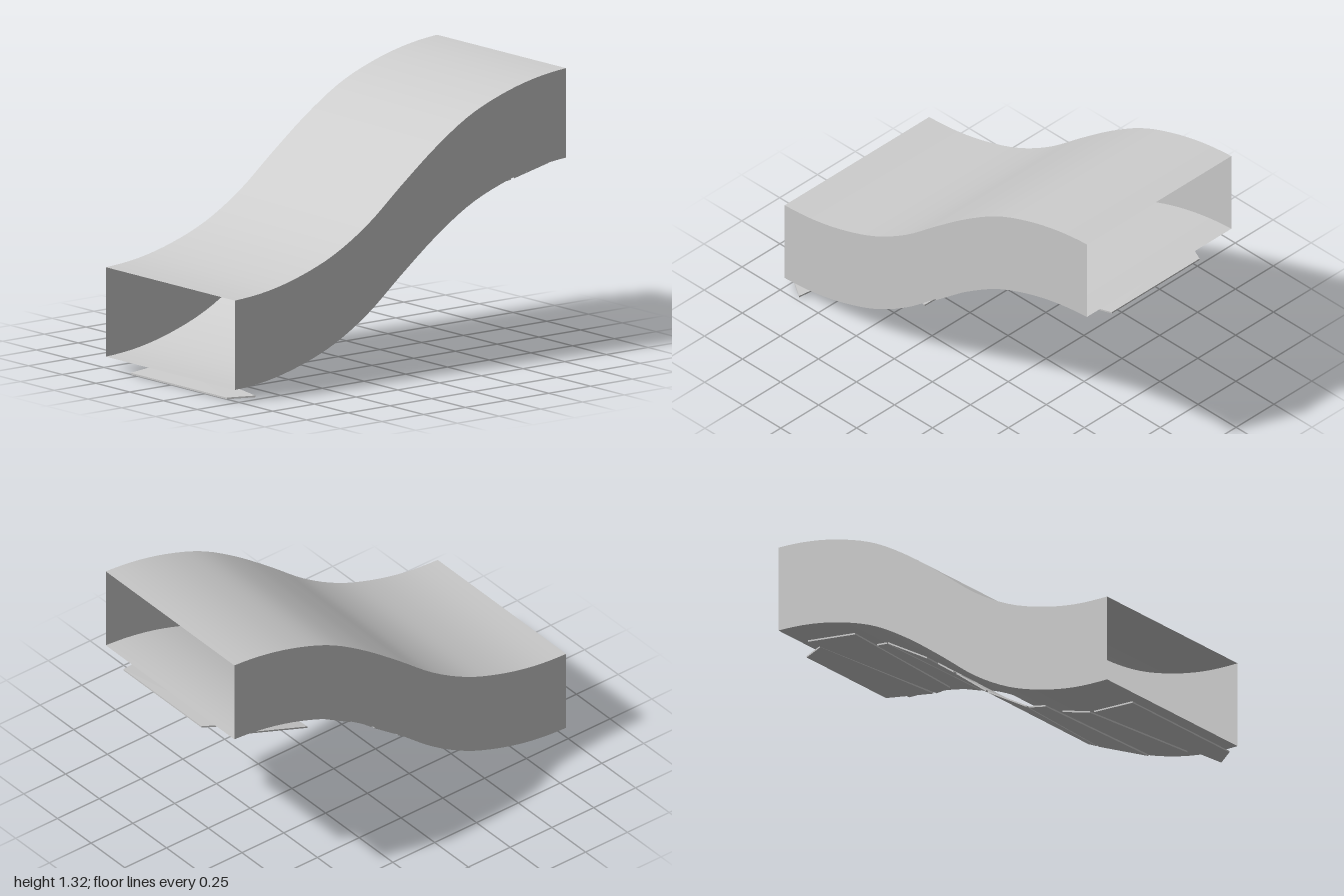
import * as THREE from 'three';
import { ConvexGeometry } from 'three/addons/geometries/ConvexGeometry.js';

const RIGHT = -0.485, LEFT = 0.47, HEIGHT = 0.426, BACK = -0.985;

// height of the duct floor, sampled every 0.2 from z = 1 to z = -1
const floorCurve = new THREE.SplineCurve(
  [0.054, 0.073, 0.12, 0.195, 0.312, 0.47, 0.62, 0.743, 0.822, 0.872, 0.895]
    .map((y, i) => new THREE.Vector2(1 - i * 0.2, y)));
const floorAt = z => floorCurve.getPoint(THREE.MathUtils.clamp((1 - z) / 2, 0, 1)).y;

// smooth sheet swept along the duct between two rails (x, height above floor)
function sheet([xa, ha], [xb, hb], material) {
  const steps = 40, pos = [], index = [];
  for (let i = 0; i <= steps; i++) {
    const z = 1 + (BACK - 1) * i / steps, y = floorAt(z);
    pos.push(xa, y + ha, z, xb, y + hb, z);
    if (i < steps) {
      const k = i * 2;
      index.push(k, k + 1, k + 3, k, k + 3, k + 2);
    }
  }
  const g = new THREE.BufferGeometry();
  g.setAttribute('position', new THREE.Float32BufferAttribute(pos, 3));
  g.setIndex(index);
  g.computeVertexNormals();
  return new THREE.Mesh(g, material);
}

// corner [x, z] of each irregular slat, front to back
const SLATS = [
  [[0.41, 1], [-0.3, 1], [-0.29, 0.76], [0.485, 0.89]],
  [[0.31, 0.83], [-0.29, 0.735], [-0.315, 0.59], [0.31, 0.61]],
  [[0.315, 0.59], [-0.39, 0.55], [-0.34, 0.41], [0.27, 0.33]],
  [[0.27, 0.315], [-0.34, 0.395], [-0.31, 0.135], [0.36, 0.19]],
  [[0.3, 0.175], [-0.305, 0.12], [-0.34, -0.03], [0.3, -0.03]],
  [[0.3, -0.05], [-0.34, -0.048], [-0.3, -0.175], [0.31, -0.28]],
  [[0.295, -0.29], [-0.36, -0.19], [-0.38, -0.41], [0.26, -0.375]],
  [[0.28, -0.39], [-0.37, -0.425], [-0.31, -0.535], [0.3, -0.58]],
  [[0.305, -0.6], [-0.47, -0.535], [-0.41, -0.87], [0.37, -0.735]],
  [[0.37, -0.755], [-0.33, -0.86], [-0.26, -1], [0.32, -1]],
];

export function createModel() {
  const model = new THREE.Group();
  const open = new THREE.MeshStandardMaterial({ color: 0xcccccc, side: THREE.DoubleSide });
  const flat = new THREE.MeshStandardMaterial({ color: 0xcccccc, flatShading: true });

  // S-curved duct, open at both ends
  const duct = new THREE.Group();
  duct.name = 'duct';
  const rails = [[RIGHT, 0], [RIGHT, HEIGHT], [LEFT, HEIGHT], [LEFT, 0]];
  ['rightWall', 'roof', 'leftWall', 'floor'].forEach((name, i) => {
    const wall = sheet(rails[(i + 1) % 4], rails[i], open);
    wall.name = name;
    duct.add(wall);
  });
  model.add(duct);

  // thin slats following the curve just below the floor
  const slats = new THREE.Group();
  slats.name = 'slats';
  SLATS.forEach((corners, i) => {
    const points = corners.flatMap(([x, z]) => [-0.054, -0.046].map(
      d => new THREE.Vector3(x, floorAt(z) + d, z)));
    const slat = new THREE.Mesh(new ConvexGeometry(points), flat);
    slat.name = `slat${i + 1}`;
    slats.add(slat);
  });
  model.add(slats);
  return model;
}
